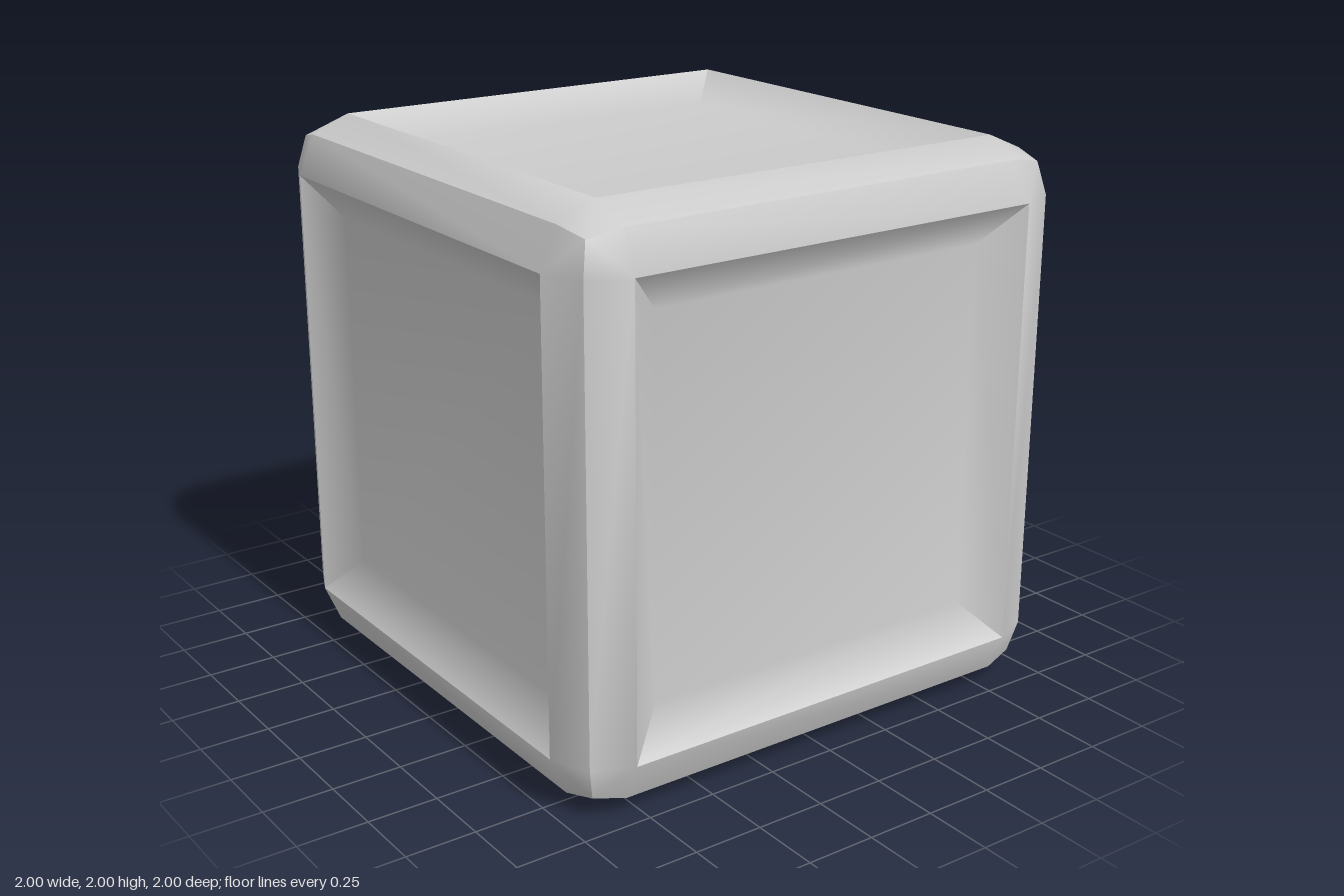
import * as THREE from 'three';

const RIM = 0.8;      // half width of the panel opening
const EDGE = 0.94;    // cube edge after bevelling
const CORNER = 0.915; // cube corner after bevelling
const FLOOR = 0.66;   // half width of the sunken floor
const DEPTH = 0.9;    // distance of the floor from the cube centre

// Quarter turns of a point about z
function turn([x, y, z], k) {
  for (let i = 0; i < k % 4; i++) [x, y] = [-y, x];
  return [x, y, z];
}

function build(points, index) {
  const g = new THREE.BufferGeometry();
  g.setAttribute('position', new THREE.Float32BufferAttribute(points.flat(), 3));
  g.setIndex(index);
  g.computeVertexNormals();
  return g;
}

const quad = (a, b, c, d) => [a, b, c, a, c, d];

// Bevelled border around one side, facing +z
function frameGeometry() {
  const points = [], index = [];
  const corner = [[RIM, RIM, 1], [EDGE, RIM, EDGE], [CORNER, CORNER, CORNER], [RIM, EDGE, EDGE]];
  for (let k = 0; k < 4; k++) {
    points.push(...corner.map((p) => turn(p, k)));
    const a = k * 4, b = ((k + 1) % 4) * 4;
    index.push(...quad(a, a + 1, a + 2, a + 3)); // corner patch
    index.push(...quad(a, a + 3, b + 1, b));     // straight strip
  }
  return build(points, index);
}

// Sunken panel: walls share the floor corners, so they blend softly into it
function panelGeometry() {
  const points = [], index = quad(0, 1, 2, 3);
  for (let k = 0; k < 4; k++) points.push(turn([FLOOR, FLOOR, DEPTH], k));
  for (let k = 0; k < 4; k++) {
    const a = points.length;
    points.push(turn([RIM, RIM, 1], k), turn([RIM, RIM, 1], k + 1));
    index.push(...quad(a, a + 1, (k + 1) % 4, k));
  }
  return build(points, index);
}

export function createModel() {
  const model = new THREE.Group();
  model.name = 'panelledCube';
  const material = new THREE.MeshStandardMaterial({ color: 0xcccccc });
  const frame = frameGeometry(), panel = panelGeometry();
  const q = Math.PI / 2;
  const sides = {
    front: [0, 0], left: [0, q], back: [0, 2 * q], right: [0, -q], top: [-q, 0], bottom: [q, 0],
  };
  // Same side repeated in six directions
  for (const [name, [rx, ry]] of Object.entries(sides)) {
    const side = new THREE.Group();
    side.name = name + 'Side';
    for (const [part, geometry] of [['Frame', frame], ['Panel', panel]]) {
      const mesh = new THREE.Mesh(geometry, material);
      mesh.name = name + part;
      side.add(mesh);
    }
    side.rotation.set(rx, ry, 0);
    side.position.y = 1;
    model.add(side);
  }
  return model;
}
